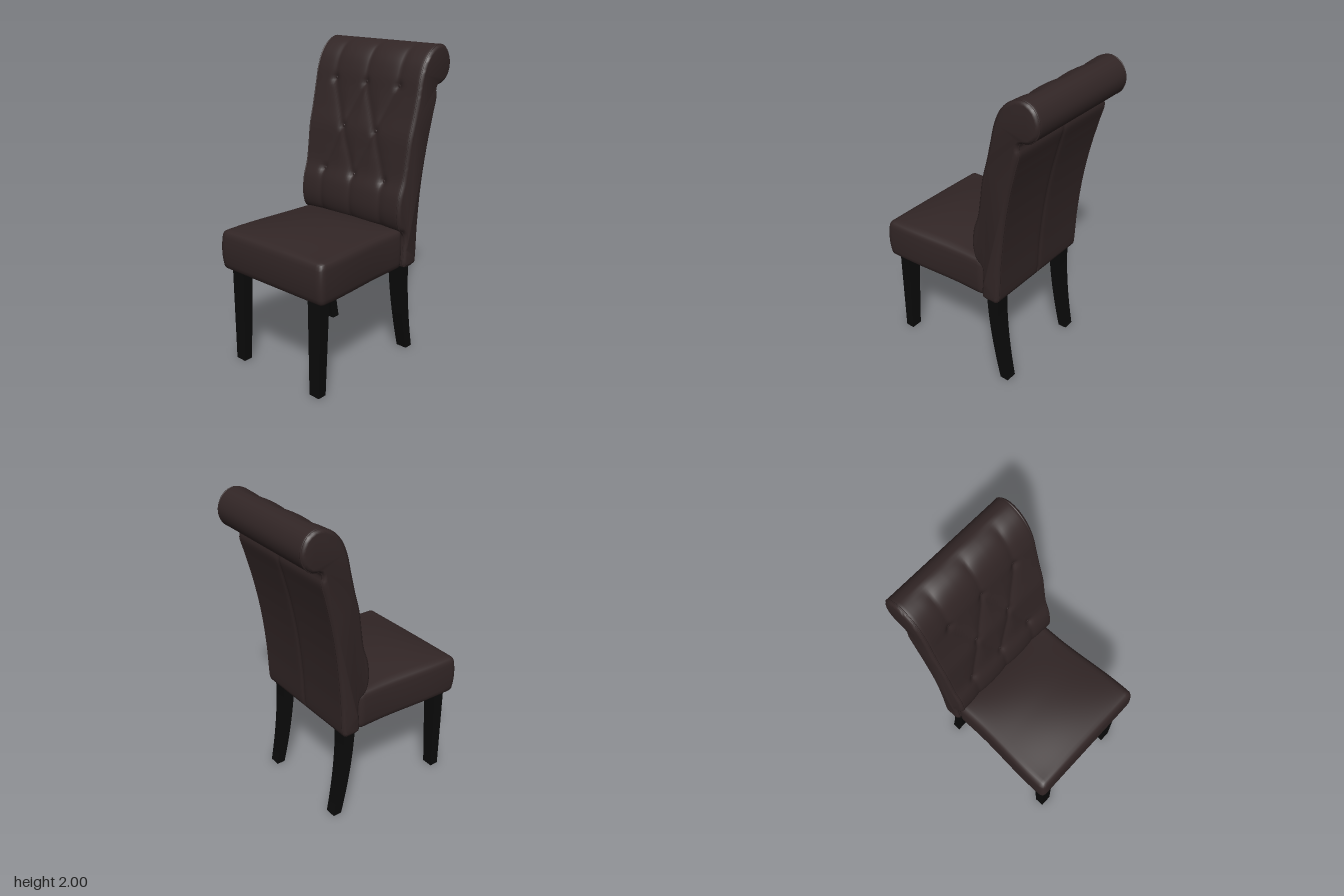
import * as THREE from 'three';
import { toCreasedNormals } from 'three/addons/utils/BufferGeometryUtils.js';

const flat = (name, color) => Object.assign(new THREE.MeshStandardMaterial({ color }), { name });
const smooth = THREE.MathUtils.smoothstep;

// Buttons and the creases that join them, as x, y on the front of the backrest
const buttons = [[-0.25, 1.75], [0, 1.75], [0.25, 1.75], [-0.13, 1.46], [0.13, 1.46],
  [-0.25, 1.17], [0, 1.17], [0.25, 1.17]];
const diagonals = [[0, 3], [1, 3], [1, 4], [2, 4], [3, 5], [3, 6], [4, 6], [4, 7]]
  .map(([a, b]) => [...buttons[a], ...buttons[b]]);
const verticals = [-0.25, 0, 0.25].flatMap((x) => [[x, 1.75, x, 1.97], [x, 1.17, x, 0.9]]);

function segmentDistance(x, y, [ax, ay, bx, by]) {
  const dx = bx - ax, dy = by - ay;
  const t = THREE.MathUtils.clamp(((x - ax) * dx + (y - ay) * dy) / (dx * dx + dy * dy), 0, 1);
  return Math.hypot(x - ax - dx * t, y - ay - dy * t);
}

// How far the upholstery is pulled in at a point of the front
function tuftDepth(x, y) {
  const nearest = (list) => Math.min(...list.map((s) => segmentDistance(x, y, s)));
  const knob = Math.min(...buttons.map(([bx, by]) => Math.hypot(x - bx, y - by)));
  const crease = Math.max(0.014 * Math.exp(-nearest(diagonals) / 0.04),
    0.012 * Math.exp(-nearest(verticals) / 0.04));
  return (crease + 0.014 * Math.exp(-((knob / 0.025) ** 2))) * (1 - smooth(Math.abs(x), 0.33, 0.39));
}

// Side outline of the scroll back as z, y: up the front, over the roll, down the back
const outline = [[-0.195, 0.63], [-0.19, 0.65], [-0.19, 0.85], [-0.145, 0.89], [-0.122, 0.97], [-0.13, 1.09],
  [-0.165, 1.2], [-0.185, 1.32], [-0.205, 1.45], [-0.24, 1.58], [-0.268, 1.7], [-0.295, 1.82], [-0.335, 1.91],
  [-0.4, 1.975], [-0.48, 2], [-0.55, 1.97], [-0.588, 1.89], [-0.57, 1.81], [-0.52, 1.767], [-0.468, 1.755],
  [-0.455, 1.73], [-0.462, 1.69], [-0.435, 1.58], [-0.392, 1.4], [-0.352, 1.17], [-0.325, 0.9],
  [-0.312, 0.65], [-0.305, 0.63]];

function createProfile() {
  const curve = new THREE.CatmullRomCurve3(outline.map(([z, y]) => new THREE.Vector3(0, y, z)), true);
  curve.arcLengthDivisions = 800;
  const pts = curve.getSpacedPoints(180).slice(0, -1);
  const n = pts.length;
  const top = pts.reduce((best, p, i) => (p.y > pts[best].y ? i : best), 0);
  return pts.map((p, i) => {
    const t = pts[(i + 1) % n].clone().sub(pts[(i + n - 1) % n]).normalize();
    return { z: p.z, y: p.y, nz: t.y, ny: -t.z, front: i < top && p.y > 0.86,
      back: i > top && p.y < 1.72 && p.y > 0.64 };
  });
}

// Sides widen slightly toward the roll
const widen = (y) => 1 + 0.035 * smooth(y, 1, 1.75);

function backPoint(p, x, inset) {
  let d = inset;
  if (p.front) d += tuftDepth(x, p.y);
  if (p.back) d += 0.008 * Math.exp(-Math.abs(x) / 0.012);
  return [x * widen(p.y), p.y - p.ny * d, p.z - p.nz * d];
}

function backGeometry(profile) {
  const stations = [[-0.42, 0.02], [-0.415, 0.01], [-0.406, 0.003]];
  for (let i = 0; i <= 64; i++) stations.push([-0.395 + 0.79 * i / 64, 0]);
  stations.push([0.406, 0.003], [0.415, 0.01], [0.42, 0.02]);
  const n = profile.length, last = (stations.length - 1) * n;
  const pos = [], index = [];
  for (const [x, inset] of stations) for (const p of profile) pos.push(...backPoint(p, x, inset));
  for (let j = 0; j < stations.length - 1; j++) for (let i = 0; i < n; i++) {
    const a = j * n + i, d = j * n + (i + 1) % n;
    index.push(a, a + n, d + n, a, d + n, d);
  }
  // End caps
  const flatPts = profile.map((p) => new THREE.Vector2(p.z, p.y));
  for (const [a, b, c] of THREE.ShapeUtils.triangulateShape(flatPts, [])) {
    const area = THREE.ShapeUtils.area([flatPts[a], flatPts[b], flatPts[c]]);
    const [q, r] = area > 0 ? [b, c] : [c, b];
    index.push(a, q, r, last + a, last + r, last + q);
  }
  const g = new THREE.BufferGeometry();
  g.setAttribute('position', new THREE.Float32BufferAttribute(pos, 3));
  g.setIndex(index);
  return toCreasedNormals(g, 0.9);
}

// Moves every vertex of a geometry by a rule
function reshape(g, rule) {
  const p = g.attributes.position, v = new THREE.Vector3();
  for (let i = 0; i < p.count; i++) {
    rule(v.fromBufferAttribute(p, i));
    p.setXYZ(i, v.x, v.y, v.z);
  }
  g.computeVertexNormals();
  return g;
}

// Seat cushion: rounded edges, bulging walls, crowned top, wider at the front
function seatGeometry() {
  const half = new THREE.Vector3(0.4, 0.13, 0.38), r = 0.028;
  const core = half.clone().subScalar(r), inner = new THREE.Vector3();
  const g = reshape(new THREE.BoxGeometry(0.8, 0.26, 0.76, 36, 12, 36), (v) => {
    inner.copy(v).clamp(core.clone().negate(), core);
    v.sub(inner).normalize().multiplyScalar(r).add(inner);
    const nx = v.x / half.x, ny = v.y / half.y, nz = v.z / half.z;
    const bulge = 1 - ny * ny;
    if (ny > 0) v.y += ny * 0.052 * (1 - nx * nx) * (1 - Math.abs(nz) ** 2.4);
    const z = v.z + 0.195;
    v.x *= 1 + 0.07 * smooth(z, -0.05, 0.5) + 0.022 * bulge;
    v.y += 0.753;
    v.z = z + (nz > 0 ? 0.014 * nz * bulge : 0);
  });
  return toCreasedNormals(g, 0.9);
}

// Tapered leg; the path gives the middle z and depth at a height
function legGeometry(x, path) {
  return reshape(new THREE.BoxGeometry(1, 0.64, 1, 1, 12, 1), (v) => {
    const t = v.y / 0.64 + 0.5, [z, depth] = path(t);
    v.set(x + v.x * (0.076 + 0.022 * t), t * 0.64, z + v.z * depth);
  });
}

export function createModel() {
  const leather = flat('dark brown leather', 0x322626);
  const wood = flat('black wood', 0x0b0b0b);
  const lining = flat('olive lining', 0x332a1a);
  const group = new THREE.Group();
  group.name = 'diningChair';
  const add = (name, geometry, material) => {
    const mesh = new THREE.Mesh(geometry, material);
    mesh.name = name;
    group.add(mesh);
    return mesh;
  };

  const profile = createProfile();
  add('backrest', backGeometry(profile), leather);
  add('seat', seatGeometry(), leather);

  // Piping along both edges of the backrest
  for (const side of [-1, 1]) {
    const path = profile.filter((_, i) => i % 2 === 0)
      .map((p) => new THREE.Vector3(...backPoint(p, side * 0.402, 0.003)));
    add(side > 0 ? 'leftPiping' : 'rightPiping',
      new THREE.TubeGeometry(new THREE.CatmullRomCurve3(path, true), 180, 0.005, 6, true), leather);
  }

  // Tufting buttons
  for (const [x, y] of buttons) {
    const p = profile.filter((q) => q.front)
      .reduce((a, b) => (Math.abs(b.y - y) < Math.abs(a.y - y) ? b : a));
    const button = add('button', new THREE.SphereGeometry(0.012, 12, 8), leather);
    button.position.set(...backPoint(p, x, 0));
    button.scale.z = 0.5;
  }

  // Lining under the seat
  const panel = add('seatLining', new THREE.BoxGeometry(0.72, 0.008, 0.66), lining);
  panel.position.set(0, 0.621, 0.185);

  // Straight front legs and swept back legs
  for (const side of [-1, 1]) {
    const label = side > 0 ? 'Left' : 'Right';
    add(`front${label}Leg`, legGeometry(side * 0.331, (t) => [0.515 - 0.015 * t, 0.06 + 0.02 * t]), wood);
    add(`back${label}Leg`, legGeometry(side * 0.331,
      (t) => [-0.243 - 0.087 * (1 - t) ** 1.7, 0.058 + 0.024 * t]), wood);
  }
  return group;
}
